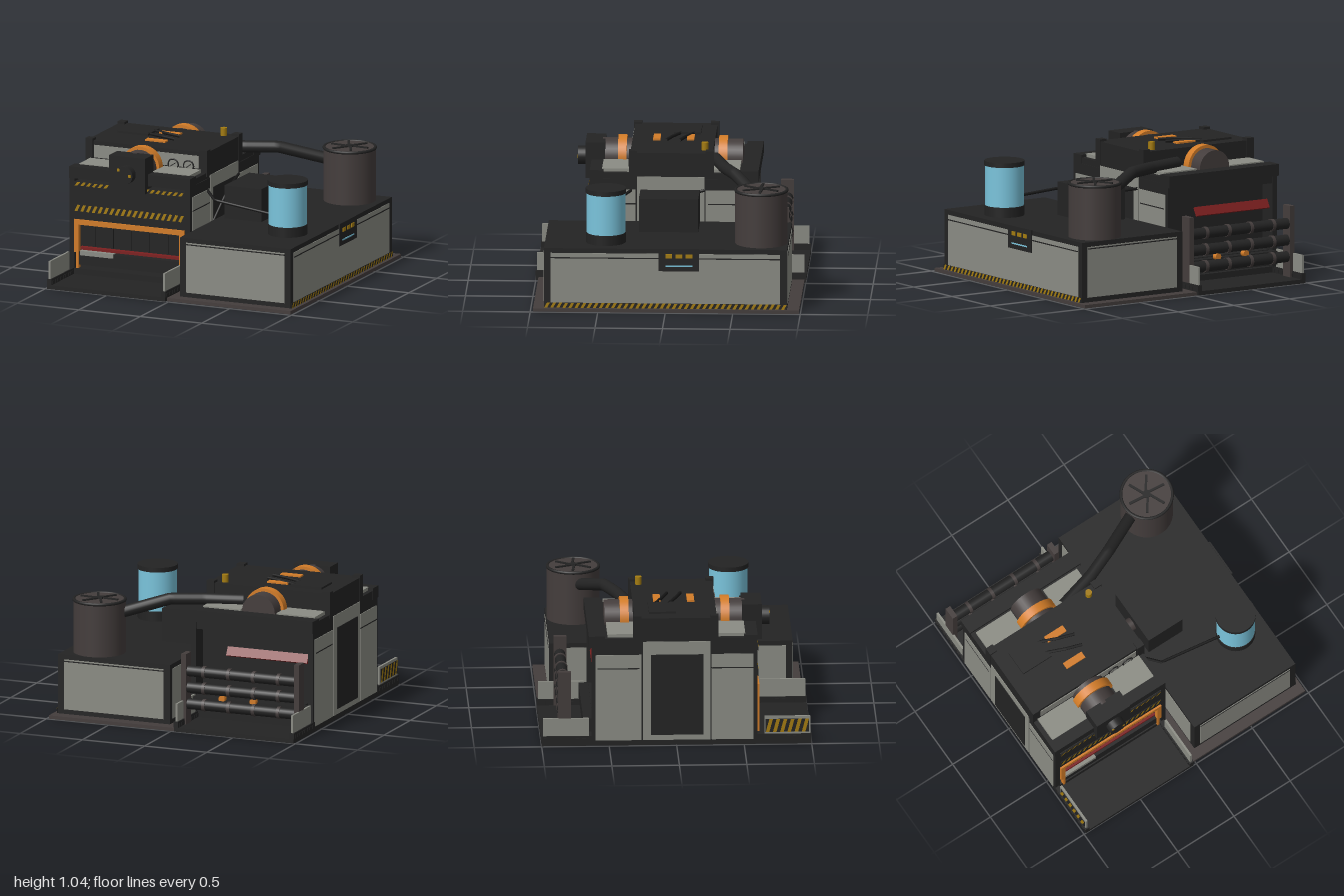
import * as THREE from 'three';

const mat = (name, color, side = THREE.FrontSide) => {
  const m = new THREE.MeshStandardMaterial({ color, side });
  m.name = name;
  return m;
};

export function createModel() {
  const root = new THREE.Group();
  root.name = 'processingMachine';
  const dark = mat('charcoal', 0x232323);
  const brown = mat('warmGrey', 0x443d3c);
  const grey = mat('panelGrey', 0x8b8c84);
  const orange = mat('orange', 0xd27c28);
  const cyan = mat('cyan', 0x7ac4dc);
  const red = mat('darkRed', 0x7c1f1f);
  const gold = mat('hazardGold', 0xa47c10, THREE.DoubleSide);
  const black = mat('black', 0x171717);

  const add = (name, geo, m, parent = root) => {
    const mesh = new THREE.Mesh(geo, m);
    mesh.name = name;
    parent.add(mesh);
    return mesh;
  };
  // Box given by its limits on each axis
  const box = (name, m, x0, x1, y0, y1, z0, z1) => {
    const mesh = add(name, new THREE.BoxGeometry(x1 - x0, y1 - y0, z1 - z0), m);
    mesh.position.set((x0 + x1) / 2, (y0 + y1) / 2, (z0 + z1) / 2);
    return mesh;
  };
  const cyl = (name, m, r, len, x, y, z, axis = 'y', seg = 32) => {
    const mesh = add(name, new THREE.CylinderGeometry(r, r, len, seg), m);
    if (axis === 'x') mesh.rotation.z = Math.PI / 2;
    if (axis === 'z') mesh.rotation.x = Math.PI / 2;
    mesh.position.set(x, y, z);
    return mesh;
  };
  const tube = (name, m, r, pts, seg = 8) => {
    const path = new THREE.CurvePath();
    const v = pts.map((p) => new THREE.Vector3(...p));
    for (let i = 1; i < v.length; i++) path.add(new THREE.LineCurve3(v[i - 1], v[i]));
    return add(name, new THREE.TubeGeometry(path, 24, r, seg), m);
  };
  // Dark strip with slanted gold stripes, facing +z before turning
  const hazard = (w, h, n, x, y, z, turn = 0) => {
    const g = new THREE.Group();
    g.name = 'hazardStrip';
    add('stripBacking', new THREE.BoxGeometry(w, h, 0.004), dark, g);
    const step = w / n, shapes = [];
    for (let i = 0; i < n; i++) {
      const a = -w / 2 + i * step, b = a + step * 0.5, s = step * 0.5;
      shapes.push(new THREE.Shape([[a, -h / 2], [b, -h / 2], [b + s, h / 2], [a + s, h / 2]]
        .map((p) => new THREE.Vector2(...p))));
    }
    add('goldStripes', new THREE.ShapeGeometry(shapes), gold, g).position.z = 0.004;
    g.position.set(x, y, z);
    g.rotation.y = turn;
    root.add(g);
  };

  // ---- Cabinet side ----
  box('basePlate', brown, -0.02, 0.985, 0, 0.025, -0.99, 0.98);
  box('cabinet', dark, 0.05, 0.95, 0.025, 0.475, -0.9, 0.9);
  for (const s of [-1, 1]) {
    box('cabinetEndPanel', grey, 0.1, 0.9, 0.06, 0.44, s * 0.9 - 0.004, s * 0.9 + 0.004);
    box('panelSeam', dark, 0.1, 0.9, 0.422, 0.43, s * 0.904 - 0.003, s * 0.904 + 0.003);
  }
  box('cabinetSidePanel', grey, 0.946, 0.954, 0.06, 0.44, -0.85, 0.85);
  box('cabinetInnerPanel', grey, 0.046, 0.054, 0.06, 0.44, -0.85, 0.85);
  box('sidePanelSeam', dark, 0.952, 0.957, 0.4, 0.408, -0.85, 0.85);
  hazard(1.8, 0.04, 40, 0.956, 0.043, 0, Math.PI / 2);

  // Control panel
  box('controlPanel', dark, 0.95, 0.962, 0.31, 0.48, -0.25, 0.05);
  for (const z of [-0.025, -0.1, -0.175]) box('panelButton', gold, 0.96, 0.967, 0.41, 0.44, z - 0.025, z + 0.025);
  box('panelDisplay', cyan, 0.96, 0.966, 0.345, 0.355, -0.2, 0);

  // Motor box with shaft
  box('motorBox', dark, 0.1, 0.4, 0.475, 0.725, -0.22, 0.22);
  cyl('motorShaft', brown, 0.05, 0.06, 0.075, 0.6, 0, 'x');

  // Coolant tank
  cyl('tankBase', dark, 0.147, 0.08, 0.72, 0.51, 0.45);
  cyl('tankGlass', cyan, 0.143, 0.3, 0.72, 0.7, 0.45);
  cyl('tankCap', dark, 0.15, 0.035, 0.72, 0.867, 0.45);

  // Extractor with fan blades, and its duct
  cyl('extractor', brown, 0.195, 0.405, 0.7, 0.677, -0.7, 'y', 40);
  const rim = add('extractorRim', new THREE.TorusGeometry(0.19, 0.012, 8, 40), dark);
  rim.rotation.x = Math.PI / 2;
  rim.position.set(0.7, 0.874, -0.7);
  cyl('fanHub', dark, 0.03, 0.015, 0.7, 0.885, -0.7);
  for (let i = 0; i < 6; i++) {
    const a = (i * Math.PI) / 3;
    const blade = add('fanBlade', new THREE.BoxGeometry(0.14, 0.012, 0.018), dark);
    blade.position.set(0.7 + Math.cos(a) * 0.08, 0.884, -0.7 + Math.sin(a) * 0.08);
    blade.rotation.y = -a - 0.1;
  }
  tube('extractorDuct', dark, 0.045, [[-0.3, 0.875, -0.32], [0.0, 0.875, -0.4], [0.22, 0.875, -0.49], [0.56, 0.775, -0.67]], 16);

  // Cables
  tube('tankCable', black, 0.011, [[-0.02, 0.7, 0.28], [0.1, 0.65, 0.39], [0.6, 0.605, 0.45]]);
  tube('motorCable', black, 0.011, [[-0.01, 0.35, 0.29], [0.04, 0.64, 0.03], [0.0, 0.7, -0.25]]);

  // ---- Press side ----
  box('bed', dark, -0.985, -0.025, 0, 0.03, -1, 1);
  for (const s of [-1, 1]) {
    for (const x of [-0.97, -0.04]) {
      box('bedRail', dark, x - 0.018, x + 0.018, 0.03, 0.075, s * 0.8 - 0.2, s * 0.8 + 0.2);
      box('guardPlate', grey, x - 0.008, x + 0.008, 0.07, 0.21, s * 0.82 - 0.17, s * 0.82 + 0.17);
      for (let i = 0; i < 8; i++) {
        const z = s * (0.64 + i * 0.047);
        box('railLink', dark, x - 0.022, x + 0.022, 0.035, 0.06, z - 0.014, z + 0.014);
      }
    }
  }
  hazard(0.32, 0.1, 6, -0.982, 0.14, 0.82, -Math.PI / 2);

  // Side walls with panels and doors
  for (const [x, s] of [[-0.965, -1], [-0.025, 1]]) {
    box('sideWall', dark, x - 0.02, x + 0.02, 0.02, 0.78, -0.63, 0.6);
    const f = x + s * 0.021;
    for (const [z0, z1, y1] of [[-0.6, -0.26, 0.7], [-0.25, 0.25, 0.8], [0.26, 0.57, 0.7]])
      box('sidePanel', grey, f - 0.004, f + 0.004, 0.04, y1, z0, z1);
    box('sideDoor', dark, f + s * 0.004 - 0.004, f + s * 0.004 + 0.004, 0.08, 0.7, -0.19, 0.2);
    for (const z of [-0.43, 0.415])
      box('sideSeam', dark, f + s * 0.003 - 0.003, f + s * 0.003 + 0.003, 0.59, 0.598, z - 0.155, z + 0.155);
  }
  box('plinth', dark, -0.95, -0.04, 0.03, 0.075, -0.62, 0.6);
  box('conveyor', dark, -0.92, -0.07, 0.105, 0.205, -0.62, 0.6);
  box('workpiece', grey, -0.9, -0.63, 0.178, 0.212, 0.5, 0.606);
  box('heatBar', red, -0.91, -0.08, 0.215, 0.235, 0.54, 0.58);
  box('innerCore', dark, -0.95, -0.04, 0.2, 0.735, -0.5, 0.52);
  box('frontFascia', dark, -0.985, -0.01, 0.45, 0.735, 0.5, 0.6);
  for (let i = 0; i < 6; i++)
    box('curtainStrip', dark, -0.935 + i * 0.148, -0.795 + i * 0.148, 0.245, 0.42, 0.555, 0.565);

  // Orange opening frame
  box('openingFrameTop', orange, -0.945, -0.05, 0.412, 0.45, 0.58, 0.615);
  for (const [a, b, c, d] of [[-0.945, -0.908, -0.925, -0.908], [-0.087, -0.05, -0.087, -0.07]]) {
    box('openingFrameSide', orange, a, b, 0.2, 0.42, 0.58, 0.615);
    box('openingFrameFoot', orange, c, d, 0.08, 0.2, 0.58, 0.615);
  }
  hazard(0.89, 0.05, 19, -0.497, 0.537, 0.605);
  hazard(0.89, 0.028, 19, -0.497, 0.721, 0.605);

  // Upper structure, with a slit left open beneath it
  box('upperDeck', dark, -0.985, -0.01, 0.757, 0.825, -0.6, 0.58);
  box('frontBeam', dark, -0.99, -0.005, 0.757, 0.845, 0.5, 0.6);
  box('rearBeam', dark, -0.99, -0.005, 0.757, 0.845, -0.65, -0.53);
  for (const s of [-1, 1])
    for (const [a, b] of [[-0.95, -0.64], [-0.35, -0.05]])
      box('shoulderPanel', grey, a, b, 0.82, 0.85, s * 0.41 - 0.1, s * 0.41 + 0.1);
  box('crown', dark, -0.985, -0.005, 0.8, 0.98, -0.31, 0.3);
  for (const s of [-1, 1])
    box('crownPanel', grey, -0.92, -0.07, 0.855, 0.95, s * 0.305 - 0.004, s * 0.305 + 0.002);
  for (const x of [-0.96, -0.03])
    for (const z of [-0.29, 0.28]) box('crownCorner', dark, x - 0.03, x + 0.03, 0.8, 0.997, z - 0.03, z + 0.03);
  box('topHatch', dark, -0.87, -0.62, 0.98, 0.995, -0.2, 0);
  for (const z of [-0.13, 0.12]) box('topClamp', orange, -0.58, -0.415, 0.97, 0.992, z - 0.027, z + 0.027);
  for (const z of [-0.15, -0.05])
    tube('topHose', black, 0.012, [[-0.64, 0.985, z], [-0.5, 0.99, z + 0.06], [-0.38, 0.99, z + 0.1]]);
  cyl('beacon', gold, 0.025, 0.065, -0.12, 1.007, -0.25, 'y', 16);

  // Gauges
  for (const x of [-0.275, -0.15]) {
    const ring = add('gaugeRing', new THREE.TorusGeometry(0.04, 0.006, 8, 24), dark);
    ring.position.set(x, 0.868, 0.31);
    cyl('gaugeFace', grey, 0.038, 0.006, x, 0.868, 0.31, 'z');
    const needle = box('gaugeNeedle', dark, x - 0.025, x + 0.025, 0.865, 0.871, 0.312, 0.316);
    needle.rotation.z = 0.6;
  }

  // Drive drums with orange collars
  for (const s of [-1, 1]) {
    cyl('driveDrum', brown, 0.132, 0.22, -0.5, 0.845, s * 0.41, 'z');
    cyl('drumCollar', orange, 0.155, 0.065, -0.5, 0.845, s * 0.373, 'z', 40);
  }
  box('driveHousing', dark, -0.645, -0.35, 0.705, 0.975, 0.5, 0.645);
  cyl('driveCap', dark, 0.068, 0.06, -0.495, 0.845, 0.675, 'z', 24);
  for (const [dx, dy] of [[-0.045, 0.04], [0.045, 0.0]])
    box('capMark', gold, -0.505 + dx, -0.485 + dx, 0.835 + dy, 0.855 + dy, 0.7, 0.707);

  // Rear roller stand
  for (const x of [-0.955, -0.05]) box('rollerPost', brown, x - 0.02, x + 0.02, 0.03, 0.565, -0.875, -0.78);
  for (const y of [0.43, 0.305, 0.18]) {
    cyl('roller', dark, 0.041, 0.87, -0.5, y, -0.83, 'x', 20);
    for (const x of [-0.8, -0.6, -0.4, -0.2]) cyl('rollerSleeve', brown, 0.046, 0.025, x, y, -0.83, 'x', 20);
    cyl('rollerHub', gold, 0.02, 0.89, -0.5, y, -0.83, 'x', 12);
  }
  for (const x of [-0.58, -0.33]) cyl('rollerSensor', orange, 0.025, 0.04, x, 0.235, -0.8, 'z', 16);
  const plate = box('heatPlate', red, -0.93, -0.28, 0.51, 0.58, -0.6, -0.58);
  plate.rotation.x = 0.5;
  box('rearLip', dark, -0.95, -0.04, 0.7, 0.76, -0.62, -0.5);
  box('rearSkirt', dark, -0.95, -0.04, 0.1, 0.2, -0.69, -0.6);

  return root;
}
